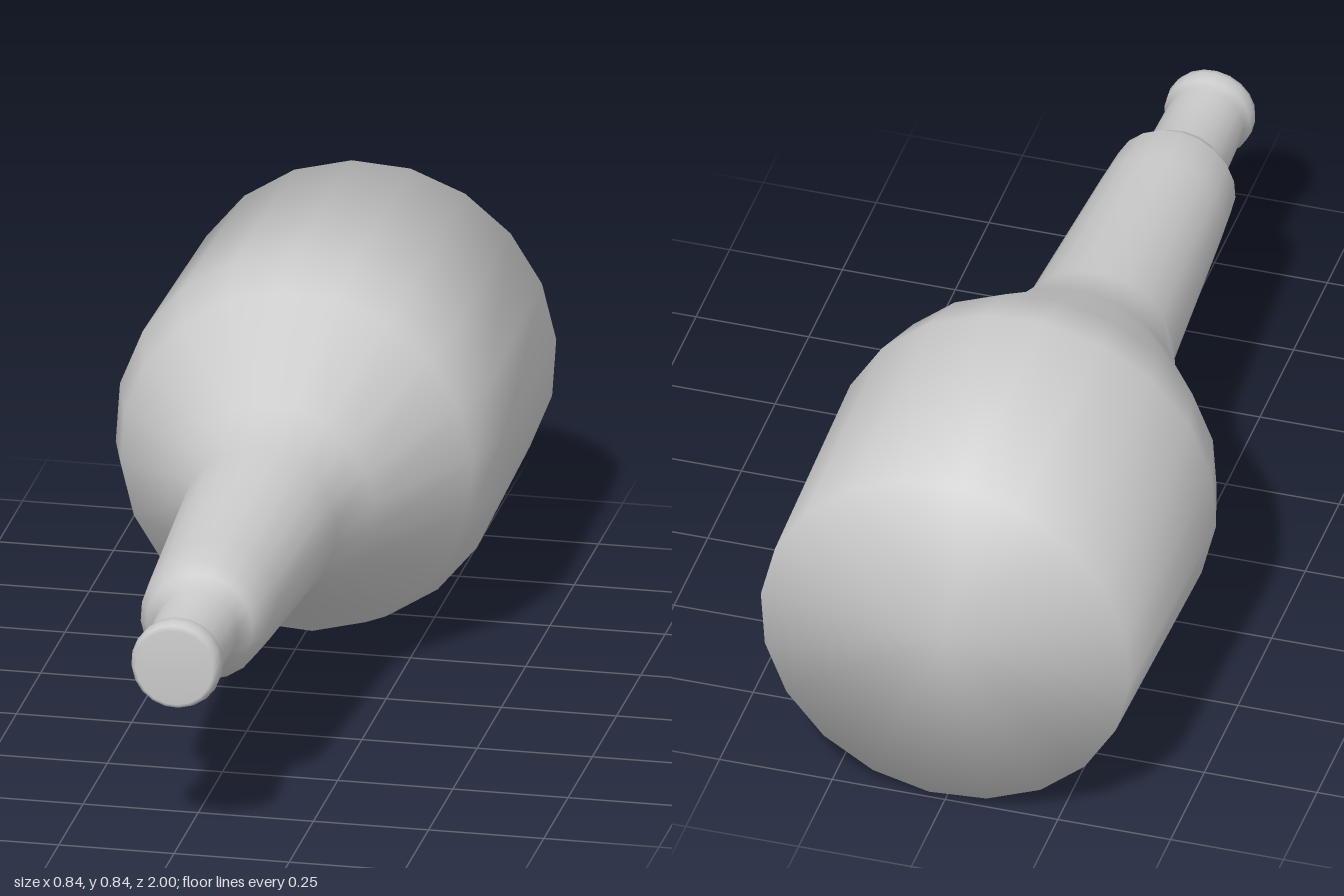
import * as THREE from 'three';

export function createModel() {
  const group = new THREE.Group();
  group.name = 'bottle';
  const material = new THREE.MeshStandardMaterial({ color: 0xcccccc });

  // Profile [radius, z] from the base to the mouth
  const profile = [
    [0, -1], [0.41, -1], // flat base
    [0.423, -0.4], [0.384, -0.265], // body and shoulder
    [0.222, -0.01], [0.171, 0.13], // shoulder into neck
    [0.143, 0.6], [0.135, 0.705], [0.115, 0.735], [0.09, 0.77], // neck and its step
    [0.085, 0.935], [0.096, 0.948], [0.098, 0.975], [0.093, 0.992], [0.084, 1], // lip
    [0, 1], // closed mouth
  ].map(([r, z]) => new THREE.Vector2(r, z));

  // One smooth turned surface, laid down so the mouth faces the front
  const geometry = new THREE.LatheGeometry(profile, 20, THREE.MathUtils.degToRad(5));
  geometry.rotateX(Math.PI / 2);

  const bottle = new THREE.Mesh(geometry, material);
  bottle.name = 'bottleBody';
  bottle.position.y = 0.423;
  group.add(bottle);
  return group;
}
